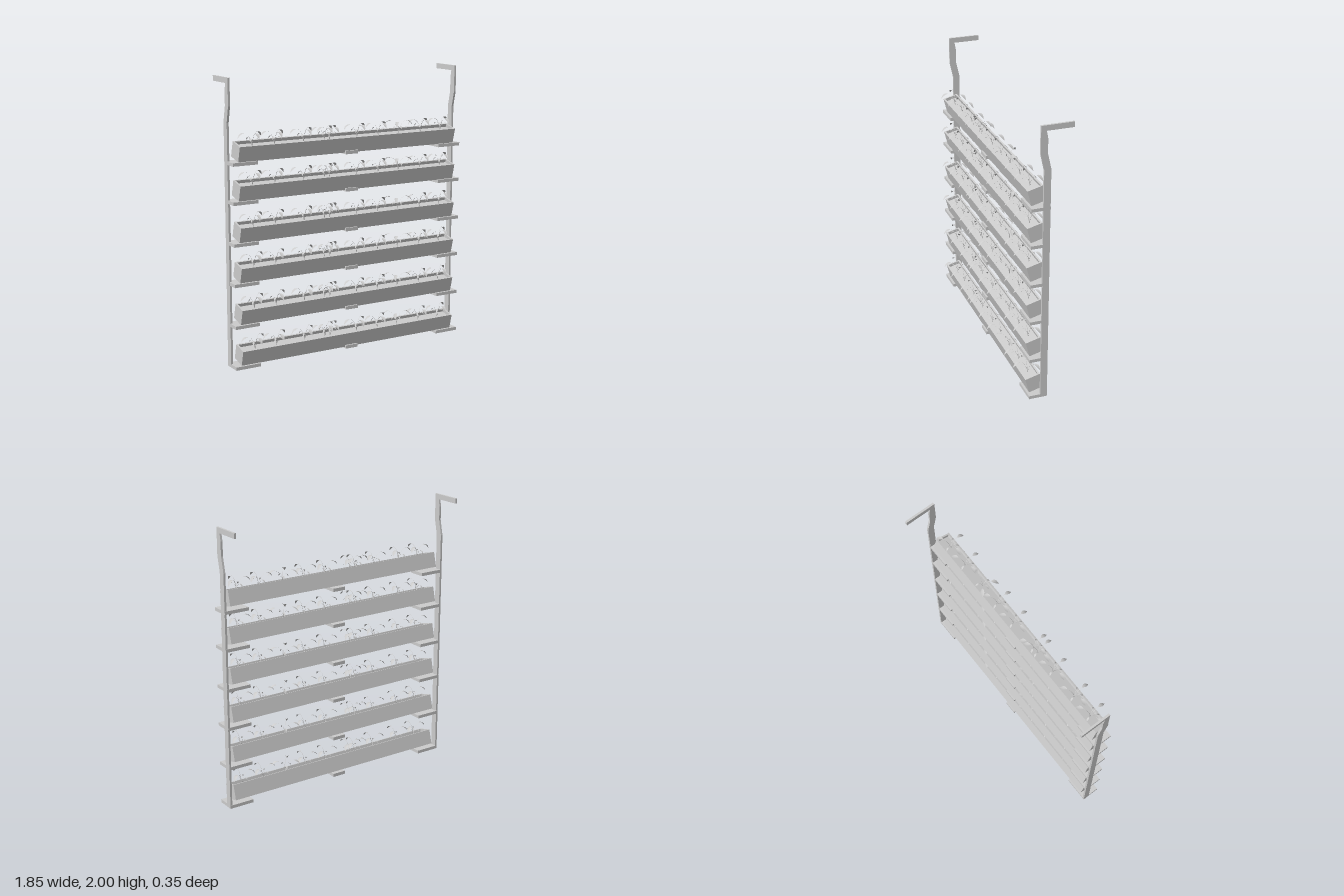
import * as THREE from 'three';
import { mergeGeometries } from 'three/addons/utils/BufferGeometryUtils.js';

const grey = new THREE.MeshStandardMaterial({ color: 0xcccccc, flatShading: true });
const leafGrey = new THREE.MeshStandardMaterial({ color: 0xcccccc, side: THREE.DoubleSide });

function box(parent, name, x0, x1, y0, y1, z0, z1) {
  const mesh = new THREE.Mesh(new THREE.BoxGeometry(x1 - x0, y1 - y0, z1 - z0), grey);
  mesh.position.set((x0 + x1) / 2, (y0 + y1) / 2, (z0 + z1) / 2);
  mesh.name = name;
  parent.add(mesh);
}

// Side post with a forward kink and a hook arm running back; profile is (z, y)
function postGeometry() {
  const profile = [
    [-0.023, 0], [0.025, 0], [0.025, 1.7], [0.05, 1.81], [0.05, 2],
    [-0.175, 2], [-0.175, 1.963], [0.012, 1.963], [0.002, 1.91], [0.002, 1.81], [-0.023, 1.7],
  ];
  const shape = new THREE.Shape(profile.map(([z, y]) => new THREE.Vector2(z, y)));
  const geo = new THREE.ExtrudeGeometry(shape, { depth: 0.015, bevelEnabled: false });
  return geo.rotateY(-Math.PI / 2).translate(0.0075, 0, 0);
}

// Arching stem that widens into a folded, drooping leaf, growing along +x
function leafGeometry(reach, rise, angle) {
  const curve = new THREE.CatmullRomCurve3([
    [0, 0], [0.12, 0.55], [0.32, 0.9], [0.55, 1], [0.8, 0.9], [1, 0.66],
  ].map(([r, y]) => new THREE.Vector3(r * reach, y * rise, 0)));
  const n = 14, pos = [], idx = [];
  for (let i = 0; i <= n; i++) {
    const t = i / n, p = curve.getPoint(t);
    const s = Math.max(0, (t - 0.57) / 0.43);
    const w = (s > 0 ? Math.max(0.0012 * (1 - s), 0.0135 * (reach / 0.115) * Math.sin(Math.PI * Math.pow(s, 0.85))) : 0.0012);
    pos.push(p.x, p.y + w * 0.3, -w, p.x, p.y, 0, p.x, p.y + w * 0.3, w);
    if (i < n) for (let k = 0; k < 2; k++) {
      const a = i * 3 + k;
      idx.push(a, a + 1, a + 3, a + 1, a + 4, a + 3);
    }
  }
  const geo = new THREE.BufferGeometry();
  geo.setAttribute('position', new THREE.Float32BufferAttribute(pos, 3));
  geo.setIndex(idx);
  geo.computeVertexNormals();
  return geo.rotateY(-angle);
}

// Seedling: three tall leaves and three short ones (angle from +x towards +z)
function plantGeometry() {
  const deg = Math.PI / 180;
  const tall = [90, 178, 330].map((a) => leafGeometry(0.11, 0.095, a * deg));
  const short = [55, 130, 250].map((a) => leafGeometry(0.055, 0.06, a * deg));
  return mergeGeometries([...tall, ...short]);
}

// Open trough tilted towards the front, filled with soil
function planter() {
  const g = new THREE.Group();
  g.name = 'planter';
  const X = 0.878, H = 0.055, D = 0.055, w = 0.012;
  box(g, 'planterFloor', -X, X, -H, -H + w, -D, D);
  box(g, 'planterFrontWall', -X, X, -H + w, H, D - w, D);
  box(g, 'planterBackWall', -X, X, -H + w, H, -D, -D + w);
  for (const s of [-1, 1]) {
    box(g, 'planterEndWall', s > 0 ? X - w : -X, s > 0 ? X : -X + w, -H + w, H, -D + w, D - w);
  }
  box(g, 'soil', -X + w, X - w, -H + w, H - 0.022, -D + w, D - w);
  g.rotation.x = 0.255;
  g.position.set(0, 0.089, 0.05);
  return g;
}

export function createModel() {
  const model = new THREE.Group();
  model.name = 'hangingPlanterRack';

  const post = postGeometry();
  for (const s of [-1, 1]) {
    const mesh = new THREE.Mesh(post, grey);
    mesh.position.x = s * 0.919;
    mesh.name = s > 0 ? 'leftPost' : 'rightPost';
    model.add(mesh);
  }

  // Plants along each trough: x position and turn
  const plants = [
    [-0.76, 0], [-0.59, 0], [-0.365, 0], [-0.2, 0], [-0.158, 0.1],
    [0.065, 0], [0.243, 0], [0.415, -0.7], [0.605, 0], [0.78, 0],
  ];
  const plantGeo = plantGeometry();

  // Six tiers
  for (const y of [0, 0.291, 0.585, 0.865, 1.151, 1.416]) {
    const tier = new THREE.Group();
    tier.name = 'tier';
    tier.position.y = y;
    box(tier, 'rightBracket', -0.926, -0.74, 0, 0.023, -0.024, 0.107);
    box(tier, 'leftBracket', 0.74, 0.926, 0, 0.023, -0.024, 0.107);
    box(tier, 'middleBracket', -0.05, 0.05, 0.012, 0.036, -0.024, 0.106);
    tier.add(planter());
    for (const [x, turn] of plants) {
      const plant = new THREE.Mesh(plantGeo, leafGrey);
      plant.name = 'plant';
      plant.position.set(x, 0.116, 0.063);
      plant.rotation.y = turn;
      tier.add(plant);
    }
    model.add(tier);
  }
  return model;
}
